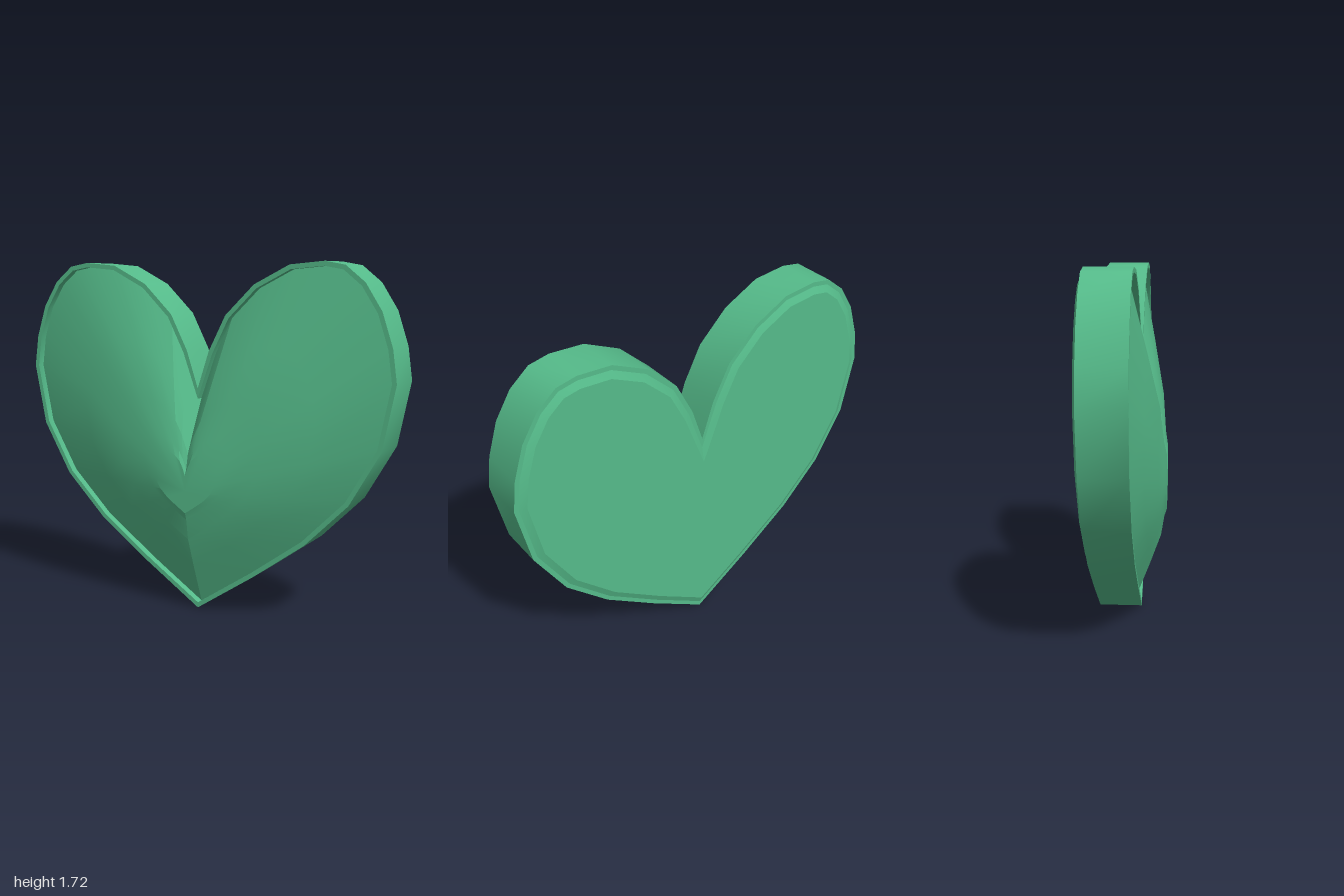
import * as THREE from 'three';
import { toCreasedNormals } from 'three/addons/utils/BufferGeometryUtils.js';

// right half of the heart, from the bottom tip up to the notch
const HALF = [
  [0, 0], [0.3, 0.2], [0.575, 0.4], [0.79, 0.615], [0.94, 0.875], [1, 1.18], [0.978, 1.335],
  [0.925, 1.495], [0.845, 1.62], [0.75, 1.697], [0.65, 1.715], [0.48, 1.7], [0.3, 1.61],
  [0.15, 1.465], [0.06, 1.29], [0, 1.11],
];
const OUTLINE = [...HALF, ...HALF.slice(1, -1).reverse().map(([x, y]) => [-x, y])]
  .map(([x, y]) => new THREE.Vector2(x, y));
const CENTRE = new THREE.Vector2(0, 0.62);

// move the outline inwards by d, with limited mitres at the sharp corners
function inset(d) {
  const n = OUTLINE.length;
  const inward = (a, b) => new THREE.Vector2(a.y - b.y, b.x - a.x).normalize();
  return OUTLINE.map((p, i) => {
    const n1 = inward(OUTLINE[(i + n - 1) % n], p);
    const n2 = inward(p, OUTLINE[(i + 1) % n]);
    const m = n1.clone().add(n2).normalize();
    return p.clone().addScaledVector(m, d * Math.min(2.3, 1 / m.dot(n1)));
  });
}

const ring = (points, z, s = 1) =>
  points.map((p) => {
    const q = CENTRE.clone().lerp(p, s);
    return new THREE.Vector3(q.x, q.y, z);
  });

// skin a series of rings, ordered from the back, outwards, then to the front
function loft(rings, crease) {
  const n = OUTLINE.length;
  const index = [];
  for (let r = 0; r < rings.length - 1; r++) {
    for (let i = 0; i < n; i++) {
      const j = (i + 1) % n;
      const [a, b, c, d] = [r * n + i, r * n + j, (r + 1) * n + j, (r + 1) * n + i];
      if (rings[r][0].distanceTo(rings[r][1]) > 1e-6) index.push(a, b, d);
      if (rings[r + 1][0].distanceTo(rings[r + 1][1]) > 1e-6) index.push(b, c, d);
    }
  }
  const geometry = new THREE.BufferGeometry().setFromPoints(rings.flat());
  geometry.setIndex(index);
  return toCreasedNormals(geometry, crease);
}

export function createModel() {
  const group = new THREE.Group();
  group.name = 'heart';
  const material = new THREE.MeshStandardMaterial({ color: 0x55bb8a });
  const add = (name, rings, crease) => {
    const mesh = new THREE.Mesh(loft(rings, crease), material);
    mesh.name = name;
    group.add(mesh);
  };
  const lip = inset(0.022);
  const backEdge = inset(0.055);

  // flat back with its narrow bevel
  add('backPlate', [ring(backEdge, -0.175, 0), ring(backEdge, -0.175)], 0.3);
  add('backBevel', [ring(backEdge, -0.175), ring(lip, -0.16), ring(OUTLINE, -0.16)], 0.35);

  // outer wall, front lip and the small step down inside it
  add('rim', [ring(OUTLINE, -0.16), ring(OUTLINE, 0.052), ring(lip, 0.052), ring(lip, 0.015)], 0.6);

  // faceted dome of shrinking hearts, [scale, z]
  const steps = [[1, 0.015], [0.655, 0.095], [0.41, 0.148], [0.24, 0.165], [0.18, 0.177], [0, 0.177]];
  add('dome', steps.map(([s, z]) => ring(lip, z, s)), 0.3);
  return group;
}
